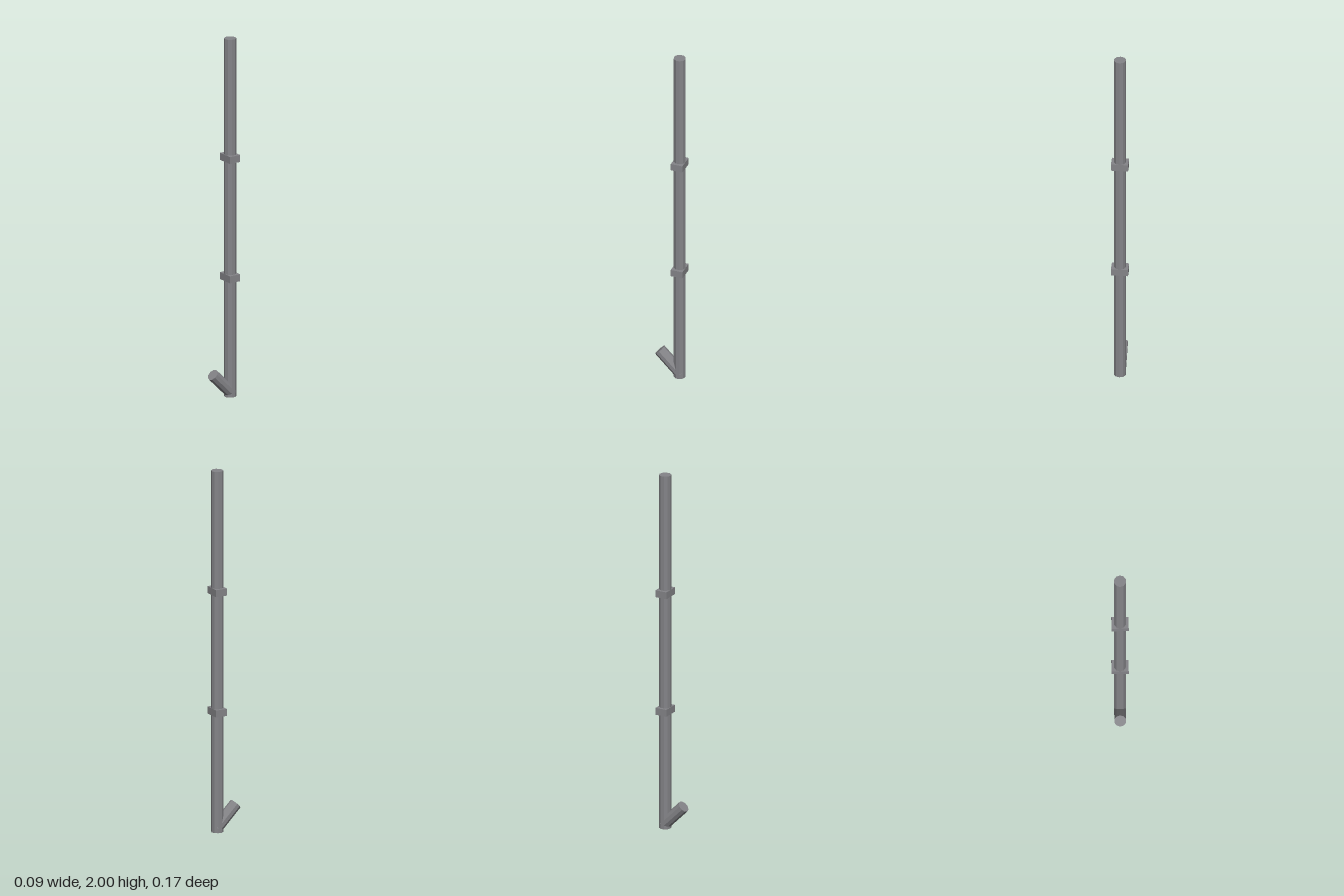
import * as THREE from 'three';

const RADIUS = 0.0328;
const SIDES = 10;
const PIPE_Z = -0.0515;
const PIPE_BOTTOM = 0.004;

export function createModel() {
  const model = new THREE.Group();
  model.name = 'drainpipe';
  const material = new THREE.MeshStandardMaterial({ color: 0x848488, flatShading: true });

  const add = (name, geometry, y, z) => {
    const mesh = new THREE.Mesh(geometry, material);
    mesh.name = name;
    mesh.position.set(0, y, z);
    model.add(mesh);
    return mesh;
  };

  // Upright pipe
  const height = 2 - PIPE_BOTTOM;
  add('pipe', new THREE.CylinderGeometry(RADIUS, RADIUS, height, SIDES), PIPE_BOTTOM + height / 2, PIPE_Z);

  // Wall brackets at one and two thirds of the height
  ['lowerBracket', 'upperBracket'].forEach((name, i) => {
    add(name, new THREE.BoxGeometry(0.092, 0.039, 0.066), PIPE_BOTTOM + height * (i + 1) / 3, PIPE_Z);
  });

  // Short outlet, tilted up and forward at 45 degrees
  const outlet = add('outlet', new THREE.CylinderGeometry(RADIUS, RADIUS, 0.168, SIDES), 0.083, 0.002);
  outlet.rotation.x = Math.PI / 4;

  return model;
}
